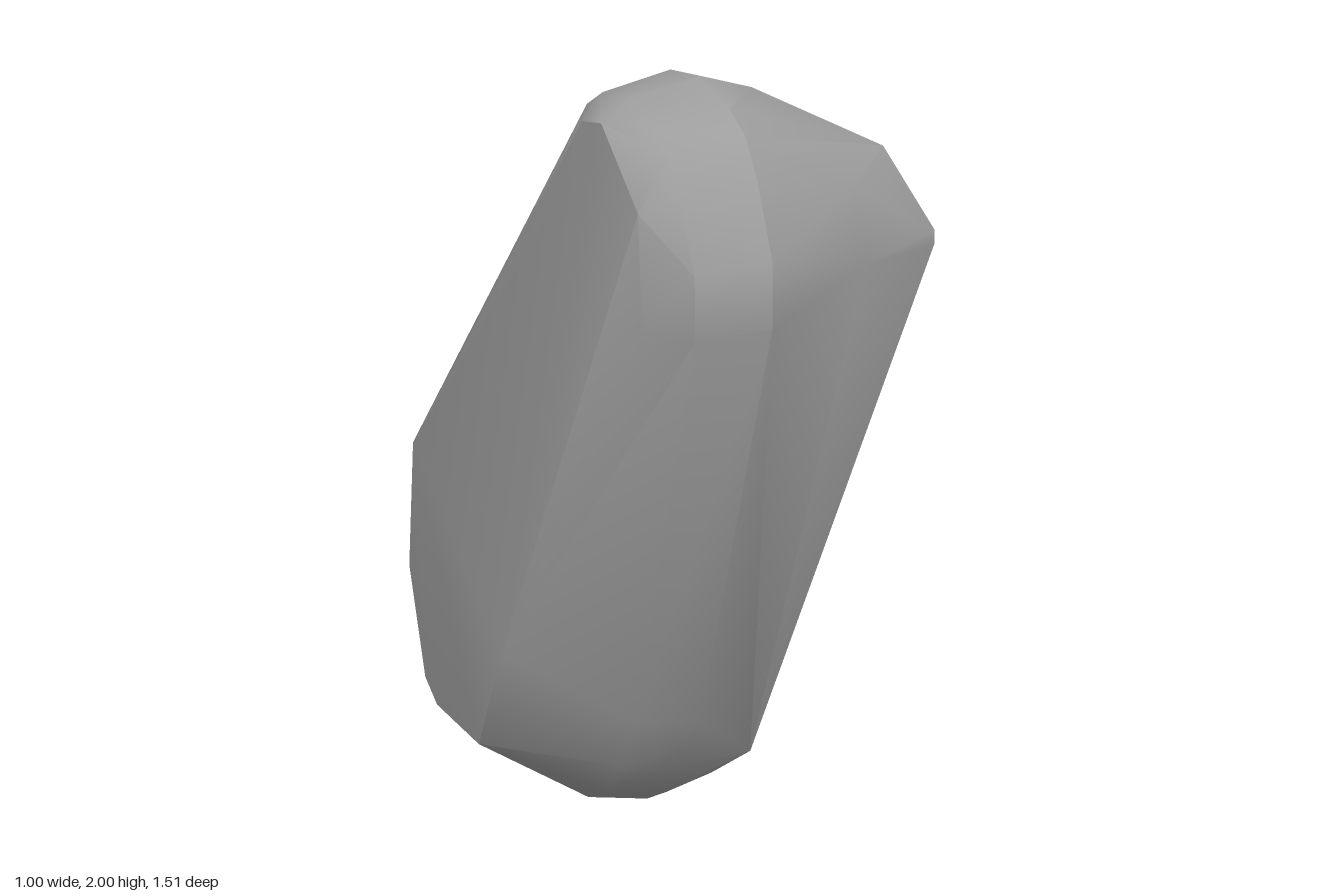
import * as THREE from 'three';
import { toCreasedNormals } from 'three/addons/utils/BufferGeometryUtils.js';
import { ConvexGeometry } from 'three/addons/geometries/ConvexGeometry.js';

// widest outline of the stone as [z, y], clockwise from the top
const outline = [
  [0.38, 2], [0.22, 1.98], [0.12, 1.93], [-0.03, 1.78], [-0.64, 0.93], [-0.69, 0.85],
  [-0.73, 0.73], [-0.755, 0.57], [-0.72, 0.4], [-0.67, 0.29], [-0.53, 0.13], [-0.41, 0.06],
  [-0.3, 0.01], [-0.17, 0], [-0.06, 0.015], [0.08, 0.05], [0.2, 0.13], [0.3, 0.25],
  [0.37, 0.37], [0.4, 0.42], [0.755, 1.53], [0.75, 1.68], [0.67, 1.84], [0.61, 1.92], [0.53, 1.96],
];

// flat facet at -x: wide lower end and a narrower, inset upper end
const facetLow = [[-0.42, 0.92], [-0.49, 0.55], [-0.39, 0.27], [-0.3, 0.23], [0.02, 0.27], [0.2, 0.6]];
const facetHigh = [[0.28, 1.9], [0.39, 1.92], [0.59, 1.77], [0.61, 1.5]];

// rounded lower rim at +x, as [x, z, y]
const rim = [
  [0.065, -0.69, 0.85], [0.055, -0.705, 0.57], [0.04, -0.68, 0.37], [0.04, -0.59, 0.2],
  [0.04, -0.5, 0.13], [0.02, -0.25, 0.01], [0.02, -0.15, 0], [0.04, 0, 0.05],
  [0.07, 0.17, 0.14], [0.12, 0.29, 0.25],
];

// blunt shoulder high on the +x side, as [x, z, y]
const shoulder = [
  [0.495, 0.45, 1.6], [0.49, 0.46, 1.57], [0.495, 0.28, 1.63], [0.46, 0.33, 1.69],
  [0.38, 0.4, 1.8], [0.38, 0.24, 1.78], [0.36, 0.13, 1.66], [0.22, 0.625, 1.6],
  [0.22, 0.57, 1.77], [0.06, 0.37, 1.96],
];

export function createModel() {
  const group = new THREE.Group();
  const points = [];
  const add = (x, z, y) => points.push(new THREE.Vector3(x, y, z));

  outline.forEach(([z, y]) => {
    add(-0.07, z, y);
    // slightly smaller bevel ring towards -x
    add(-0.23, z * 0.94, 1 + (y - 1) * 0.96);
  });
  facetLow.forEach(([z, y]) => add(-0.5, z, y));
  facetHigh.forEach(([z, y]) => add(-0.31, z, y));
  rim.forEach((p) => add(...p));
  shoulder.forEach((p) => add(...p));
  add(-0.17, -0.17, 0); // small resting face
  add(-0.31, -0.67, 0.6); // lower back bulge

  const stoneGrey = new THREE.MeshStandardMaterial({ color: 0x9e9e9e });
  stoneGrey.name = 'stoneGrey';
  const stone = new THREE.Mesh(toCreasedNormals(new ConvexGeometry(points), 0.6), stoneGrey);
  stone.name = 'stone';
  group.add(stone);
  return group;
}
